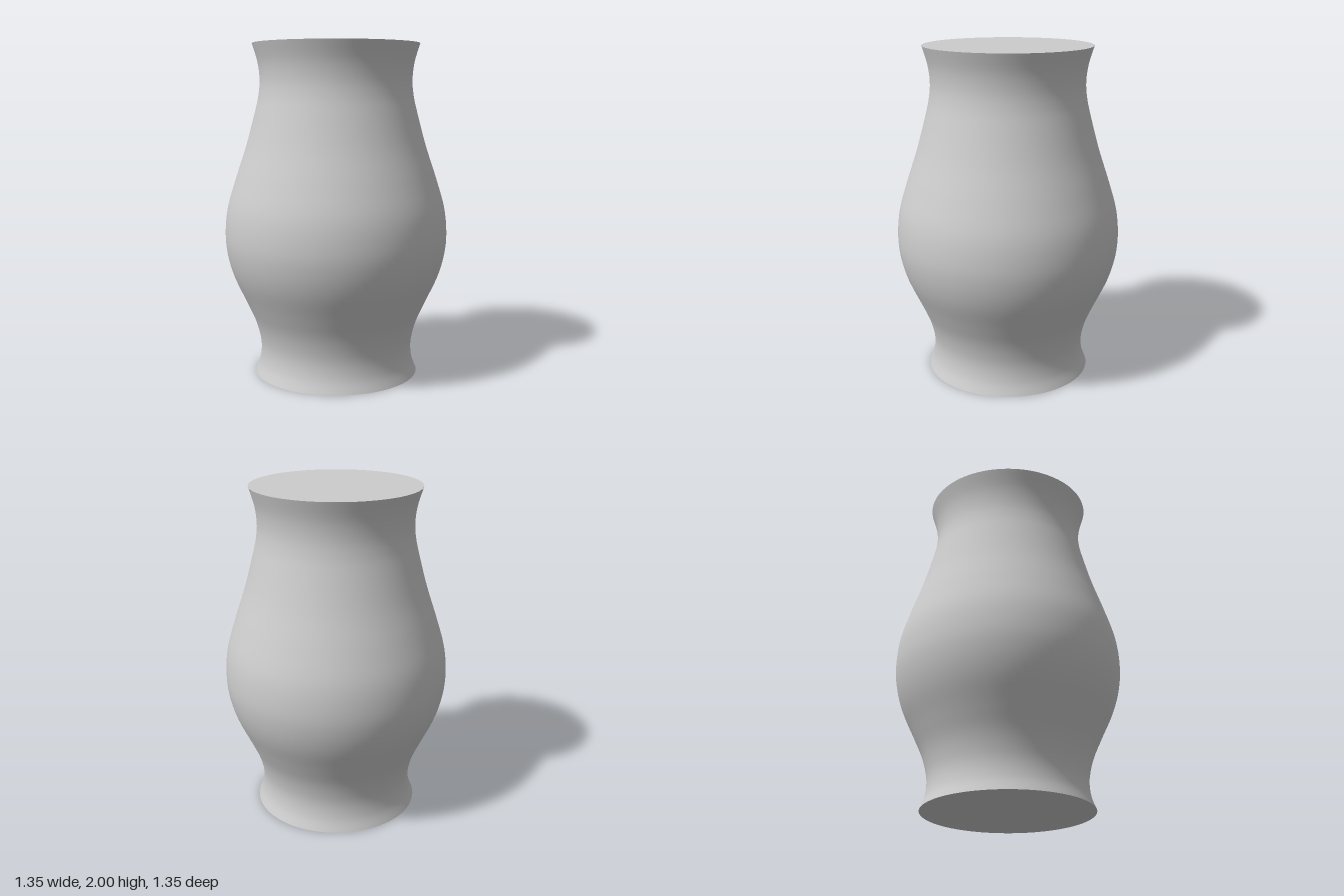
import * as THREE from 'three';

const RIM = 0.5, HEIGHT = 2, SIDES = 96;

export function createModel() {
  const group = new THREE.Group();
  group.name = 'vase';
  const grey = new THREE.MeshStandardMaterial({ color: 0xcccccc });
  grey.name = 'light grey';

  // Curved wall: pinched foot, full belly, narrow neck, flared rim
  const profile = new THREE.SplineCurve([
    [RIM, 0], [0.474, 0.07], [0.464, 0.15], [0.472, 0.23], [0.5, 0.33], [0.553, 0.45],
    [0.622, 0.6], [0.66, 0.73], [0.673, 0.86], [0.658, 1.02], [0.606, 1.2],
    [0.54, 1.4], [0.486, 1.6], [0.464, 1.7], [0.457, 1.79], [0.468, 1.89], [RIM, HEIGHT],
  ].map(([r, y]) => new THREE.Vector2(r, y)));
  const body = new THREE.Mesh(new THREE.LatheGeometry(profile.getPoints(80), SIDES), grey);
  body.name = 'body';
  group.add(body);

  // Flat closed ends
  const addCap = (name, y, tilt) => {
    const cap = new THREE.Mesh(new THREE.CircleGeometry(RIM, SIDES), grey);
    cap.name = name;
    cap.rotation.x = tilt;
    cap.position.y = y;
    group.add(cap);
  };
  addCap('topCap', HEIGHT, -Math.PI / 2);
  addCap('bottomCap', 0, Math.PI / 2);

  return group;
}
